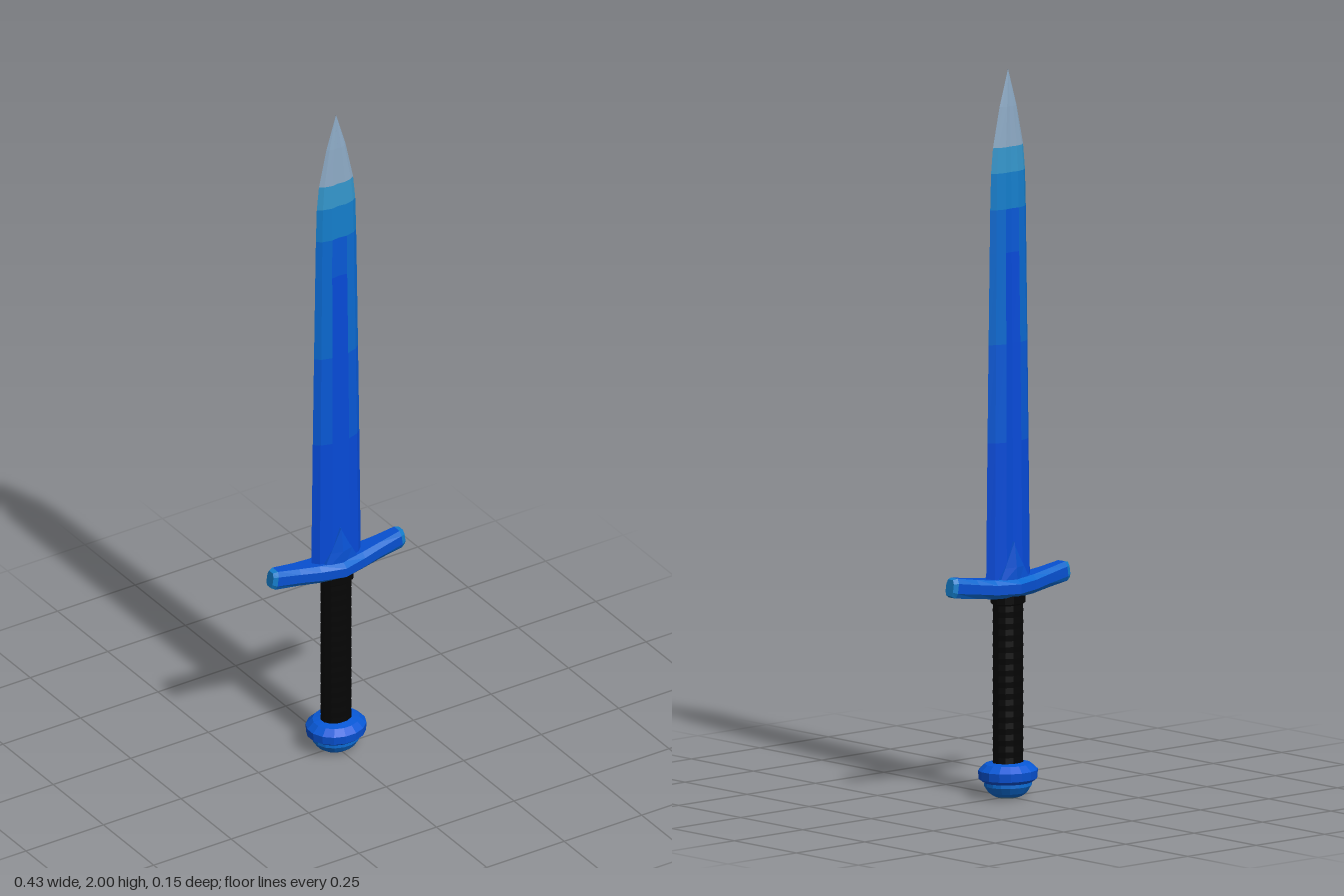
import * as THREE from 'three';

const mat = (name, color) => {
  const m = new THREE.MeshStandardMaterial({ color });
  m.name = name;
  return m;
};

// Skin a list of rings (arrays of [x, y, z]) with flat faces and end caps.
// paint(i, j) gives the material index of facet j in the strip above ring i.
function loft(name, rings, materials, paint = () => 0) {
  const buckets = materials.map(() => []);
  const n = rings[0].length;
  const last = rings.length - 1;
  const cap = (ring, flip, out) => {
    const c = [0, 1, 2].map(k => ring.reduce((s, p) => s + p[k], 0) / n);
    ring.forEach((p, j) => {
      const q = ring[(j + 1) % n];
      out.push(...c, ...(flip ? q : p), ...(flip ? p : q));
    });
  };
  cap(rings[0], false, buckets[paint(0, 0)]);
  for (let i = 0; i < last; i++) {
    for (let j = 0; j < n; j++) {
      const k = (j + 1) % n;
      const a = rings[i][j], b = rings[i][k], c = rings[i + 1][k], d = rings[i + 1][j];
      buckets[paint(i, j)].push(...a, ...d, ...b, ...b, ...d, ...c);
    }
  }
  cap(rings[last], true, buckets[paint(last - 1, 0)]);

  const geo = new THREE.BufferGeometry();
  geo.setAttribute('position', new THREE.Float32BufferAttribute(buckets.flat(), 3));
  geo.computeVertexNormals();
  let start = 0;
  buckets.forEach((b, m) => {
    geo.addGroup(start, b.length / 3, m);
    start += b.length / 3;
  });
  const mesh = new THREE.Mesh(geo, materials);
  mesh.name = name;
  return mesh;
}

// Horizontal elliptical ring
const ellipse = (y, rx, rz, sides) => Array.from({ length: sides }, (_, i) => {
  const a = ((i + 0.5) / sides) * Math.PI * 2;
  return [rx * Math.cos(a), y, rz * Math.sin(a)];
});

export function createModel() {
  const deepBlue = mat('deep blue', 0x064ad8);
  const midBlue = mat('mid blue', 0x0858d6);
  const oceanBlue = mat('ocean blue', 0x0a69d0);
  const skyBlue = mat('sky blue', 0x147ecc);
  const paleBlue = mat('pale blue', 0x3496cc);
  const steel = mat('steel tip', 0x8ca9c4);
  const guardBlue = mat('guard blue', 0x0750d0);
  const slate = mat('pommel base slate', 0x5f8796);
  const black = mat('grip black', 0x050505);

  const sword = new THREE.Group();
  sword.name = 'sword';

  // Blade: bevelled edges, shallow fuller, colour fading towards the tip
  const section = [[1, 0], [0.78, 0.6], [0.36, 1], [0, 0.8], [-0.36, 1], [-0.78, 0.6],
    [-1, 0], [-0.78, -0.6], [-0.36, -1], [0, -0.8], [0.36, -1], [0.78, -0.6]];
  const stations = [ // y, half width, half thickness
    [0.58, 0.08, 0.027], [0.98, 0.075, 0.024], [1.25, 0.071, 0.0215], [1.5, 0.067, 0.0185],
    [1.62, 0.065, 0.0175], [1.72, 0.062, 0.016], [1.79, 0.055, 0.014],
    [1.9, 0.031, 0.009], [2, 0.0006, 0.0006]];
  const fullerTone = [0, 0, 0, 1, 3, 4, 5, 5];
  const flankTone = [0, 1, 2, 2, 3, 4, 5, 5];
  const isFuller = j => [2, 3, 8, 9].includes(j);
  sword.add(loft('blade',
    stations.map(([y, w, t]) => section.map(([x, z]) => [x * w, y, z * t])),
    [deepBlue, midBlue, oceanBlue, skyBlue, paleBlue, steel],
    (i, j) => (isFuller(j) ? fullerTone : flankTone)[i]));

  // Pointed collars on both faces of the blade
  sword.add(loft('bladeCollar', [
    [0.58, 0.07, 0.039], [0.635, 0.038, 0.036], [0.705, 0.002, 0.027],
  ].map(([y, w, t]) => [[w, 0], [w * 0.9, 0.75 * t], [0, t], [-w * 0.9, 0.75 * t],
    [-w, 0], [-w * 0.9, -0.75 * t], [0, -t], [w * 0.9, -0.75 * t]]
    .map(([x, z]) => [x, y, z])), [guardBlue]));

  // Crossguard: bevelled bar, deep in the middle, arms swept upwards
  const half = [ // x, centre y, half height, half depth
    [0, 0.578, 0.026, 0.054], [0.07, 0.58, 0.026, 0.038], [0.13, 0.588, 0.026, 0.028],
    [0.2, 0.598, 0.027, 0.021], [0.213, 0.6, 0.022, 0.015]];
  const arms = [...half.slice(1).reverse().map(([x, ...r]) => [-x, ...r]), ...half];
  const bar = [[1, -0.5], [1, 0.5], [0.65, 1], [-0.65, 1],
    [-1, 0.5], [-1, -0.5], [-0.65, -1], [0.65, -1]];
  sword.add(loft('crossguard', arms.map(([x, cy, h, d]) => {
    // Tilt the ends so they lean outwards at the bottom
    const lean = Math.abs(x) > 0.15 ? -Math.sign(x) * 0.15 : 0;
    return bar.map(([z, y]) => [x + lean * y * h, cy + y * h, z * d]);
  }), [guardBlue, oceanBlue, skyBlue],
  (i, j) => (i === 0 || i === arms.length - 2 ? 2 : j % 2)));

  // Grip: wrapped with shallow ridges, flaring under the guard
  const wraps = [];
  const turns = 14;
  for (let i = 0; i <= turns * 2; i++) {
    const r = i % 2 ? 1 : 0.965;
    wraps.push(ellipse(0.08 + (i / (turns * 2)) * 0.45, 0.046 * r, 0.037 * r, 12));
  }
  wraps.push(ellipse(0.535, 0.052, 0.041, 12), ellipse(0.562, 0.052, 0.041, 12));
  sword.add(loft('grip', wraps, [black]));

  // Pommel: broad rim over a rounded cap with a slate base
  const turned = profile => profile.map(([y, r]) => ellipse(y, r, r * 0.9, 16));
  sword.add(loft('pommelCap',
    turned([[0, 0.032], [0.004, 0.042], [0.014, 0.056], [0.032, 0.068], [0.05, 0.067]]),
    [slate, oceanBlue], i => (i === 0 ? 0 : 1)));
  sword.add(loft('pommelRim',
    turned([[0.042, 0.07], [0.052, 0.084], [0.075, 0.085], [0.092, 0.066], [0.096, 0.045]]),
    [guardBlue, midBlue], i => (i < 2 ? 0 : 1)));

  return sword;
}
